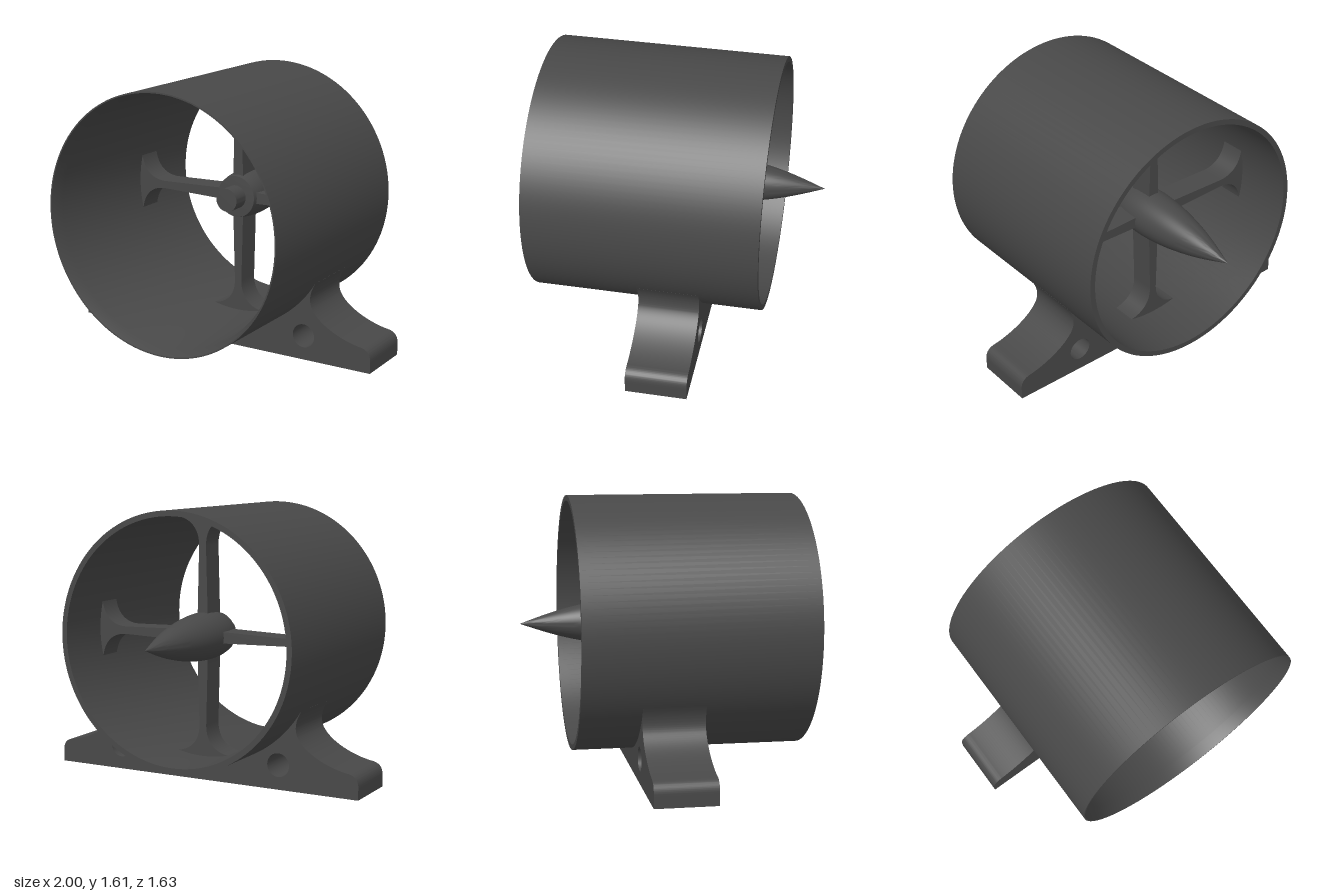
import * as THREE from 'three';
import { toCreasedNormals } from 'three/addons/utils/BufferGeometryUtils.js';

const AXIS_Y = 0.86;   // height of the duct axis
const material = new THREE.MeshStandardMaterial({ color: 0x484848 });

function part(name, geometry) {
  const mesh = new THREE.Mesh(toCreasedNormals(geometry, 0.5), material);
  mesh.name = name;
  return mesh;
}

// Revolve [radius, z] points around the z axis
function revolve(points, segments) {
  const profile = points.map(([r, z]) => new THREE.Vector2(r, z));
  return new THREE.LatheGeometry(profile, segments).rotateX(Math.PI / 2);
}

function extrudeZ(shape, depth, zCentre) {
  return new THREE.ExtrudeGeometry(shape, { depth, bevelEnabled: false, curveSegments: 24 })
    .translate(0, 0, zCentre - depth / 2);
}

function circle(x, y, r) {
  return new THREE.Path().absarc(x, y, r, 0, Math.PI * 2, true);
}

// One radial vane, pointing up, slim at mid span and flared where it joins the duct
function vaneShape() {
  const s = new THREE.Shape();
  const a = Math.asin(0.18 / 0.725);
  s.moveTo(-0.035, 0.08);
  s.lineTo(0.035, 0.08);
  s.lineTo(0.023, 0.53);
  s.bezierCurveTo(0.022, 0.63, 0.08, 0.69, 0.18, 0.7);
  s.absarc(0, 0, 0.725, Math.PI / 2 - a, Math.PI / 2 + a, false);
  s.lineTo(-0.18, 0.7);
  s.bezierCurveTo(-0.08, 0.69, -0.022, 0.63, -0.023, 0.53);
  s.closePath();
  return s;
}

// Upper bracket: rounded feet sweeping up to cradle the duct
function bracketShape(bottom) {
  const s = new THREE.Shape();
  const r = 0.735, a = 0.56;
  const cx = r * Math.cos(a), cy = AXIS_Y - r * Math.sin(a);
  s.moveTo(-1, bottom);
  s.lineTo(1, bottom);
  s.lineTo(1, 0.08);
  s.quadraticCurveTo(0.995, 0.14, 0.93, 0.147);
  s.bezierCurveTo(0.82, 0.165, 0.67, 0.23, 0.622, 0.32);
  s.bezierCurveTo(0.603, 0.36, 0.605, 0.41, 0.645, 0.475);
  s.lineTo(cx, cy);
  s.absarc(0, AXIS_Y, r, -a, -Math.PI + a, true);
  s.lineTo(-0.645, 0.475);
  s.bezierCurveTo(-0.605, 0.41, -0.603, 0.36, -0.622, 0.32);
  s.bezierCurveTo(-0.67, 0.23, -0.82, 0.165, -0.93, 0.147);
  s.quadraticCurveTo(-0.995, 0.14, -1, 0.08);
  s.closePath();
  s.holes.push(circle(-0.5, 0.145, 0.07), circle(0.57, 0.145, 0.07));
  return s;
}

// Bottom slab with a central mounting hole, drawn flat then laid down
function slabGeometry(height) {
  const s = new THREE.Shape();
  s.moveTo(-1, -0.18);
  s.lineTo(1, -0.18);
  s.lineTo(1, 0.18);
  s.lineTo(-1, 0.18);
  s.closePath();
  s.holes.push(circle(0, 0, 0.06));
  return new THREE.ExtrudeGeometry(s, { depth: height, bevelEnabled: false, curveSegments: 24 })
    .rotateX(-Math.PI / 2);
}

export function createModel() {
  const model = new THREE.Group();
  model.name = 'ductedThruster';

  // Parts centred on the duct axis
  const axial = new THREE.Group();
  axial.name = 'ductAssembly';
  axial.position.y = AXIS_Y;
  model.add(axial);

  // Duct with a chamfered front lip
  axial.add(part('duct', revolve([
    [0.718, -0.53], [0.75, -0.53], [0.75, 0.815], [0.742, 0.815], [0.718, 0.74], [0.718, -0.53],
  ], 128)));

  // Streamlined tail cone
  const curve = new THREE.SplineCurve([
    [0, -0.815], [0.05, -0.67], [0.09, -0.53], [0.124, -0.36], [0.14, -0.2], [0.138, -0.08], [0.125, 0],
  ].map(([r, z]) => new THREE.Vector2(r, z)));
  const hubPoints = curve.getPoints(28).map((p) => [Math.max(p.x, 0), p.y]);
  axial.add(part('tailCone', revolve([...hubPoints, [0, 0.01]], 64)));

  // Motor boss in front of the cone
  axial.add(part('motorBoss', new THREE.CylinderGeometry(0.07, 0.07, 0.147, 48)
    .rotateX(Math.PI / 2).translate(0, 0, 0.034)));

  // Four vanes
  for (let i = 0; i < 4; i++) {
    const vane = part('vane' + (i + 1), extrudeZ(vaneShape(), 0.15, -0.1));
    vane.rotation.z = i * Math.PI / 2;
    axial.add(vane);
  }

  // Mounting foot
  const slabHeight = 0.07;
  model.add(part('mountBracket', extrudeZ(bracketShape(slabHeight), 0.36, 0)));
  model.add(part('mountSlab', slabGeometry(slabHeight)));

  return model;
}
